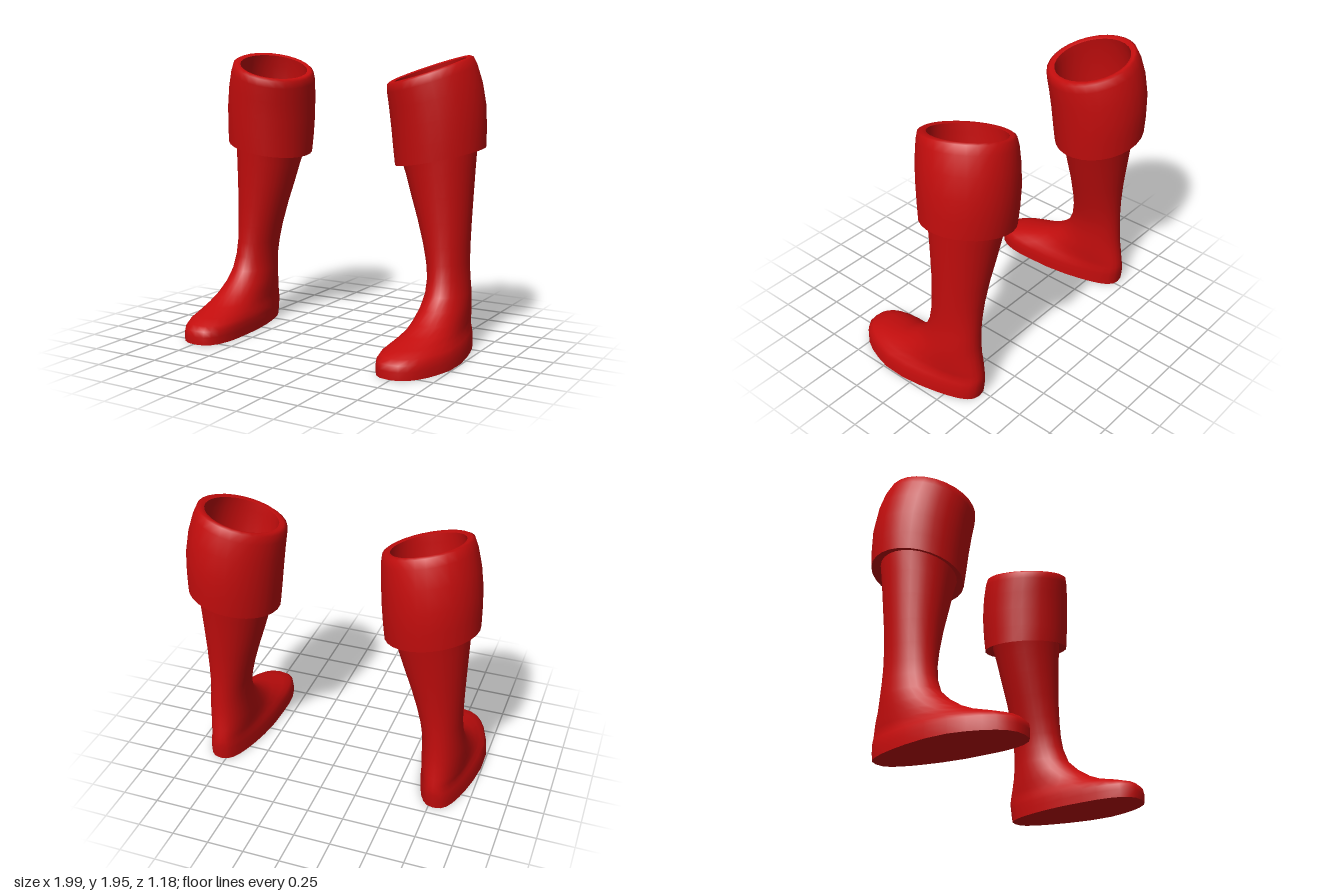
import * as THREE from 'three';

const SEG = 28;

// One ring: [y, inner x, outer x, back z, front z, slope along x, slope along z, heel narrowing, squareness]
function ringPoints([y, x0, x1, zb, zf, sx = 0, sz = 0, narrow = 0, square = 1]) {
  const cx = (x0 + x1) / 2, hx = (x1 - x0) / 2;
  const cz = (zb + zf) / 2, hz = (zf - zb) / 2;
  const pow = (v) => Math.sign(v) * Math.abs(v) ** square;
  const pts = [];
  for (let j = 0; j < SEG; j++) {
    const t = (j / SEG) * Math.PI * 2;
    const dz = hz * pow(Math.cos(t));
    const z = cz + dz;
    const w = 1 - narrow * (1 - THREE.MathUtils.smoothstep(z, -0.42, 0.2));
    const dx = hx * w * pow(Math.sin(t));
    const toeShift = -0.13 * Math.max(0, z - 0.2); // toes curve inward
    pts.push([cx + dx + toeShift, y + sx * dx + sz * dz, z]);
  }
  return pts;
}

// Skin a stack of rings; side = -1 mirrors the part
function loft(name, rings, side, material) {
  const pos = [], idx = [];
  for (const r of rings) for (const [x, y, z] of ringPoints(r)) pos.push(side * x, y, z);
  for (let i = 0; i < rings.length - 1; i++) {
    for (let j = 0; j < SEG; j++) {
      const k = (j + 1) % SEG;
      const a = i * SEG + j, b = i * SEG + k, c = b + SEG, d = a + SEG;
      if (side > 0) idx.push(a, b, c, a, c, d);
      else idx.push(a, c, b, a, d, c);
    }
  }
  const geo = new THREE.BufferGeometry();
  geo.setAttribute('position', new THREE.Float32BufferAttribute(pos, 3));
  geo.setIndex(idx);
  geo.computeVertexNormals();
  const mesh = new THREE.Mesh(geo, material);
  mesh.name = name;
  return mesh;
}

// Foot and shin, from the sole edge up to beneath the cuff
const soleEdge = [0.008, 0.575, 1.0, -0.44, 0.59, 0, 0, 0.25, 0.8];
const legRings = [
  soleEdge,
  [0.06, 0.575, 0.998, -0.448, 0.592, 0, 0, 0.25, 0.8],
  [0.1, 0.578, 0.99, -0.452, 0.585, 0, 0, 0.25, 0.8],
  [0.13, 0.585, 0.978, -0.455, 0.55, 0, 0, 0.23, 0.82],
  [0.16, 0.6, 0.958, -0.455, 0.46, 0, 0, 0.2, 0.86],
  [0.2, 0.615, 0.945, -0.45, 0.31, 0, 0, 0.14, 0.9],
  [0.25, 0.622, 0.937, -0.44, 0.195, 0, 0, 0.08, 0.93],
  [0.32, 0.63, 0.927, -0.428, 0.09, 0, 0, 0.03],
  [0.4, 0.637, 0.917, -0.418, 0.008],
  [0.5, 0.638, 0.903, -0.415, -0.03],
  [0.6, 0.623, 0.897, -0.415, -0.045],
  [0.72, 0.594, 0.898, -0.42, -0.05],
  [0.88, 0.547, 0.902, -0.437, -0.048],
  [1.05, 0.495, 0.908, -0.465, -0.036, 0.05, -0.02],
  [1.2, 0.455, 0.914, -0.49, -0.025, 0.12, -0.05],
  [1.32, 0.42, 0.92, -0.515, -0.012, 0.2, -0.08],
];

// Flat underside joining the leg to the cuff hem
const hem = [1.297, 0.375, 0.975, -0.575, 0.038, 0.2, -0.08];
const undersideRings = [legRings[legRings.length - 1], hem];

// Turned-over cuff with a rounded rim
const cuffRings = [
  hem,
  [1.42, 0.362, 0.974, -0.586, 0.05, 0.2, -0.09],
  [1.56, 0.35, 0.968, -0.59, 0.062, 0.21, -0.1],
  [1.7, 0.34, 0.945, -0.575, 0.075, 0.23, -0.13],
  [1.81, 0.333, 0.912, -0.548, 0.086, 0.26, -0.16],
  [1.86, 0.336, 0.888, -0.525, 0.086, 0.28, -0.17],
  [1.872, 0.355, 0.868, -0.508, 0.066, 0.28, -0.17],
  [1.865, 0.385, 0.84, -0.485, 0.035, 0.28, -0.17],
];

// Inner wall running down to the insole
const liningRings = [
  cuffRings[cuffRings.length - 1],
  [1.8, 0.385, 0.86, -0.5, 0.03, 0.24, -0.14],
  [1.6, 0.395, 0.9, -0.53, 0.02, 0.2, -0.1],
  [1.4, 0.42, 0.9, -0.51, -0.02, 0.15, -0.06],
  [1.2, 0.48, 0.885, -0.465, -0.05],
  [0.9, 0.57, 0.875, -0.41, -0.075],
  [0.6, 0.648, 0.872, -0.39, -0.07],
  [0.4, 0.662, 0.89, -0.39, -0.03],
  [0.2, 0.645, 0.91, -0.415, 0.1],
  [0.05, 0.64, 0.92, -0.41, 0.2],
  [0.05, 0.78, 0.78, -0.1, -0.1],
];

const soleRings = [[0.008, 0.785, 0.785, 0.05, 0.05], soleEdge];

export function createModel() {
  const red = new THREE.MeshStandardMaterial({ color: 0xc40d0d });
  red.name = 'red';

  const model = new THREE.Group();
  model.name = 'bootPair';
  for (const side of [1, -1]) {
    const boot = new THREE.Group();
    boot.name = side > 0 ? 'leftBoot' : 'rightBoot';
    boot.add(
      loft('sole', soleRings, side, red),
      loft('footAndShin', legRings, side, red),
      loft('cuffUnderside', undersideRings, side, red),
      loft('cuff', cuffRings, side, red),
      loft('lining', liningRings, side, red),
    );
    model.add(boot);
  }
  return model;
}
